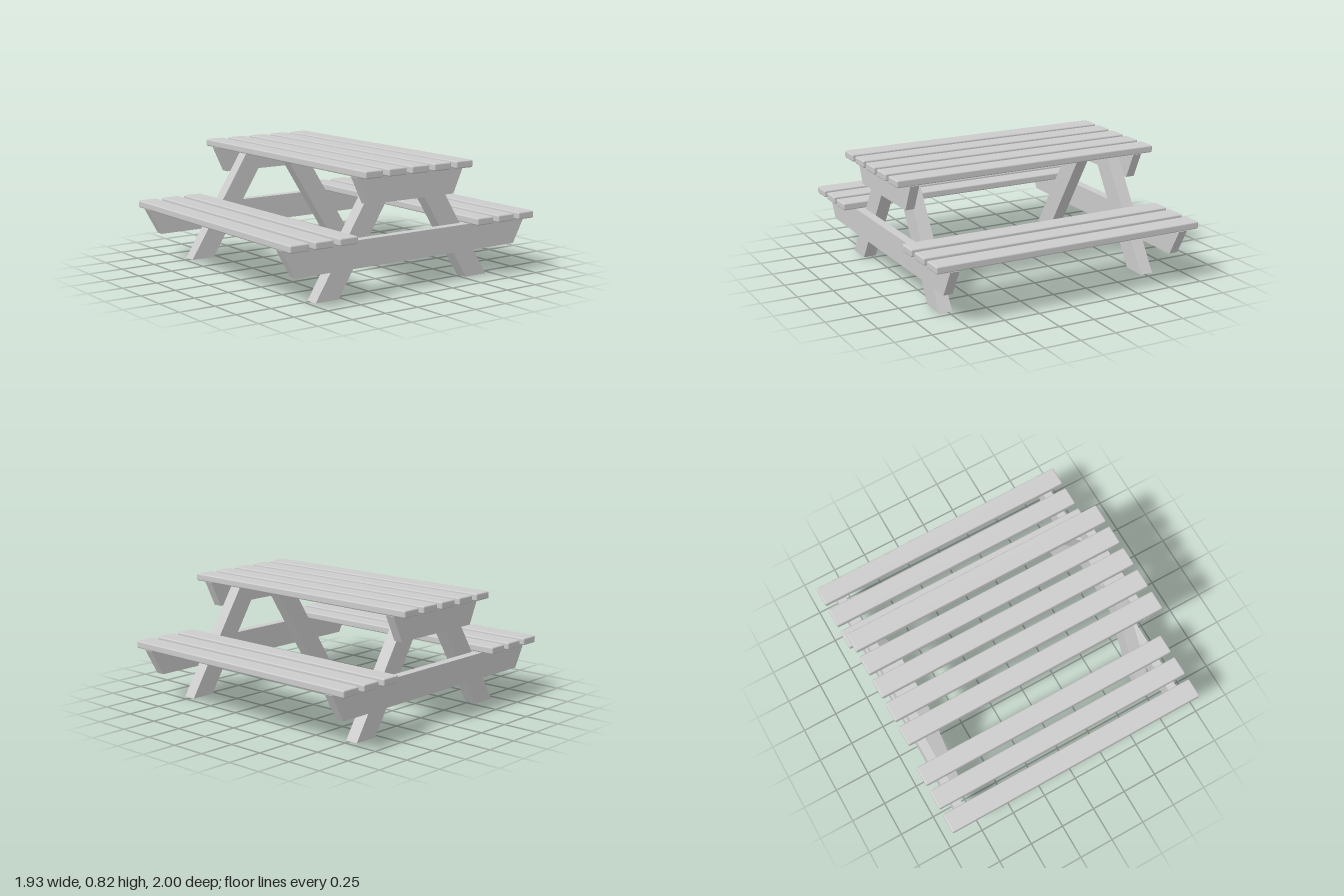
import * as THREE from 'three';
import { RoundedBoxGeometry } from 'three/addons/geometries/RoundedBoxGeometry.js';

const material = new THREE.MeshStandardMaterial({ color: 0xcccccc });

const TABLE_Y = 0.775;   // underside of the table top
const BENCH_Y = 0.378;   // underside of the benches
const PLANK = { length: 1.93, height: 0.05, width: 0.14, spacing: 0.184 };

function addMesh(parent, name, geometry) {
  const mesh = new THREE.Mesh(geometry, material);
  mesh.name = name;
  parent.add(mesh);
  return mesh;
}

// Row of softly rounded planks running along x
function plankRow(name, count, centreZ, y) {
  const row = new THREE.Group();
  row.name = name;
  const geometry = new RoundedBoxGeometry(PLANK.length, PLANK.height, PLANK.width, 2, 0.01);
  for (let i = 0; i < count; i++) {
    const z = centreZ + (i - (count - 1) / 2) * PLANK.spacing;
    addMesh(row, 'plank', geometry).position.set(0, y + PLANK.height / 2, z);
  }
  return row;
}

// Board with a [z, y] outline, sawn to fill x0..x1
function board(outline, x0, x1) {
  const shape = new THREE.Shape(outline.map(([z, y]) => new THREE.Vector2(-z, y)));
  const geometry = new THREE.ExtrudeGeometry(shape, { depth: x1 - x0, bevelEnabled: false });
  return geometry.rotateY(Math.PI / 2).translate(x0, 0, 0);
}

// Symmetric beam, narrower at the bottom
function beamOutline(topZ, bottomZ, topY, bottomY) {
  return [[-topZ, topY], [topZ, topY], [bottomZ, bottomY], [-bottomZ, bottomY]];
}

// A-frame at one end: two slanted legs with two beams on their outer faces
function endFrame(name, side) {
  const frame = new THREE.Group();
  frame.name = name;
  const span = (inner, outer) => (side > 0 ? [inner, outer] : [-outer, -inner]);
  const beamX = span(0.81, 0.873);
  const legX = span(0.72, 0.81);

  addMesh(frame, 'tableBeam', board(beamOutline(0.437, 0.353, TABLE_Y, 0.597), ...beamX));
  addMesh(frame, 'benchBeam', board(beamOutline(1.0, 0.9, BENCH_Y, 0.198), ...beamX));
  for (const s of [1, -1]) {
    const outline = [[0.707, 0], [0.531, 0], [0.04, TABLE_Y], [0.216, TABLE_Y]];
    addMesh(frame, s > 0 ? 'frontLeg' : 'backLeg',
      board(outline.map(([z, y]) => [s * z, y]), ...legX));
  }
  return frame;
}

export function createModel() {
  const model = new THREE.Group();
  model.name = 'picnicTable';
  model.add(
    plankRow('tableTop', 5, 0, TABLE_Y),
    plankRow('frontBench', 3, 0.746, BENCH_Y),
    plankRow('backBench', 3, -0.746, BENCH_Y),
    endFrame('leftFrame', 1),
    endFrame('rightFrame', -1),
  );
  return model;
}
